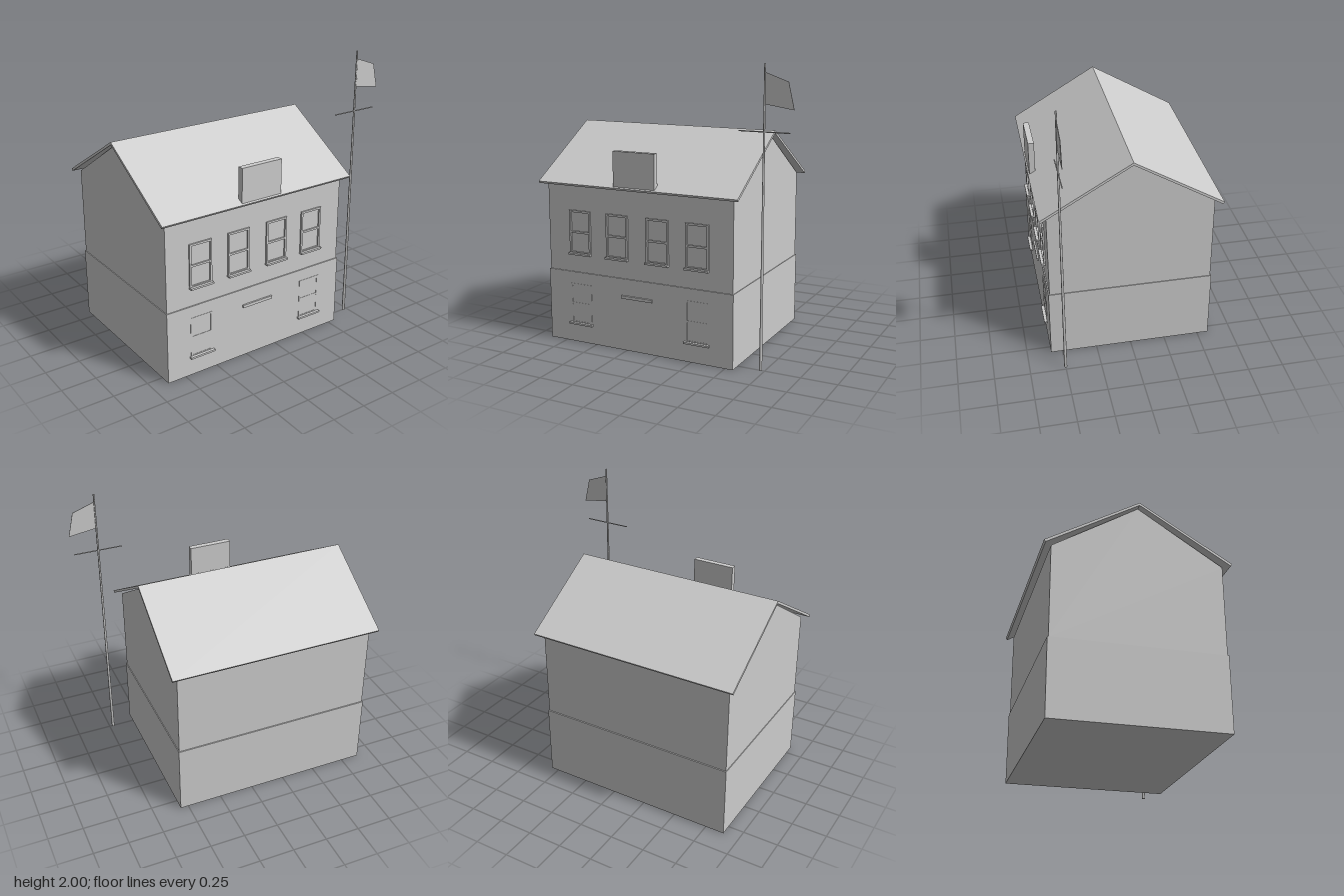
import * as THREE from 'three';

export function createModel() {
  const model = new THREE.Group();
  const grey = new THREE.MeshStandardMaterial({ color: 0xcccccc, side: THREE.DoubleSide });
  grey.name = 'plain grey';

  const add = (name, geometry, x = 0, y = 0, z = 0, parent = model) => {
    const mesh = new THREE.Mesh(geometry, grey);
    mesh.name = name;
    mesh.position.set(x, y, z);
    parent.add(mesh);
    return mesh;
  };
  // Box given by its limits on each axis
  const box = (name, x0, x1, y0, y1, z0, z1, parent = model) =>
    add(name, new THREE.BoxGeometry(x1 - x0, y1 - y0, z1 - z0),
      (x0 + x1) / 2, (y0 + y1) / 2, (z0 + z1) / 2, parent);
  // Profile of [z, y] points swept along x
  const sweepX = (name, points, x0, x1) => {
    const shape = new THREE.Shape(points.map(([z, y]) => new THREE.Vector2(-z, y)));
    const geometry = new THREE.ExtrudeGeometry(shape, { depth: x1 - x0, bevelEnabled: false });
    geometry.rotateY(Math.PI / 2);
    return add(name, geometry, x0);
  };

  // Walls: slightly wider ground floor, gabled upper floor
  box('groundFloor', -0.885, 0.557, 0, 0.515, -0.58, 0.58);
  sweepX('gabledUpperFloor',
    [[0.572, 0.515], [0.572, 1.145], [0, 1.505], [-0.572, 1.145], [-0.572, 0.515]], -0.88, 0.552);

  // Thin folded roof with overhanging eaves
  sweepX('roof',
    [[0, 1.525], [0.625, 1.154], [0.615, 1.139], [0, 1.506], [-0.615, 1.139], [-0.625, 1.154]],
    -0.925, 0.6);

  // Upright panel at the front eave
  box('eavePanel', -0.32, -0.003, 1.155, 1.403, 0.572, 0.614);

  // Window made of a frame, middle bar and sill
  const addWindow = (name, x, y0, y1, front, sillWidth, sillFront) => {
    const window = new THREE.Group();
    window.name = name;
    model.add(window);
    const w = 0.086, t = 0.014, back = front - 0.02;
    for (const s of [-1, 1]) {
      const cx = x + s * (w - t / 2);
      box('windowPost', cx - t / 2, cx + t / 2, y0, y1, back, front, window);
    }
    const mid = (y0 + y1) / 2;
    for (const y of [y0 + t / 2, mid, y1 - t / 2])
      box('windowRail', x - w + t, x + w - t, y - t / 2, y + t / 2, back, front, window);
    box('windowSill', x - sillWidth / 2, x + sillWidth / 2, y0 - 0.007, y0 + 0.006, back, sillFront, window);
  };
  for (const x of [-0.62, -0.32, -0.006, 0.294])
    addWindow('upperWindow', x, 0.65, 0.96, 0.583, 0.176, 0.602);
  for (const x of [-0.62, 0.294])
    addWindow('lowerWindow', x, 0.138, 0.43, 0.582, 0.19, 0.602);

  // Ledge above the entrance
  box('doorLintel', -0.286, -0.044, 0.376, 0.397, 0.57, 0.592);

  // Flagpole with crossbar and flag
  const pole = new THREE.Group();
  pole.name = 'flagpole';
  pole.position.set(0.722, 0, 0.5);
  model.add(pole);
  add('mast', new THREE.CylinderGeometry(0.006, 0.011, 2, 8), 0, 1, 0, pole);
  const bar = add('crossbar', new THREE.CylinderGeometry(0.004, 0.004, 0.345, 8), 0, 1.575, 0, pole);
  bar.rotation.z = Math.PI / 2;
  const flag = new THREE.Shape([[0.004, 1.945], [0.004, 1.748], [0.198, 1.718], [0.158, 1.89]]
    .map(([x, y]) => new THREE.Vector2(x, y)));
  add('flag', new THREE.ExtrudeGeometry(flag, { depth: 0.004, bevelEnabled: false }), 0, 0, -0.002, pole);

  return model;
}
